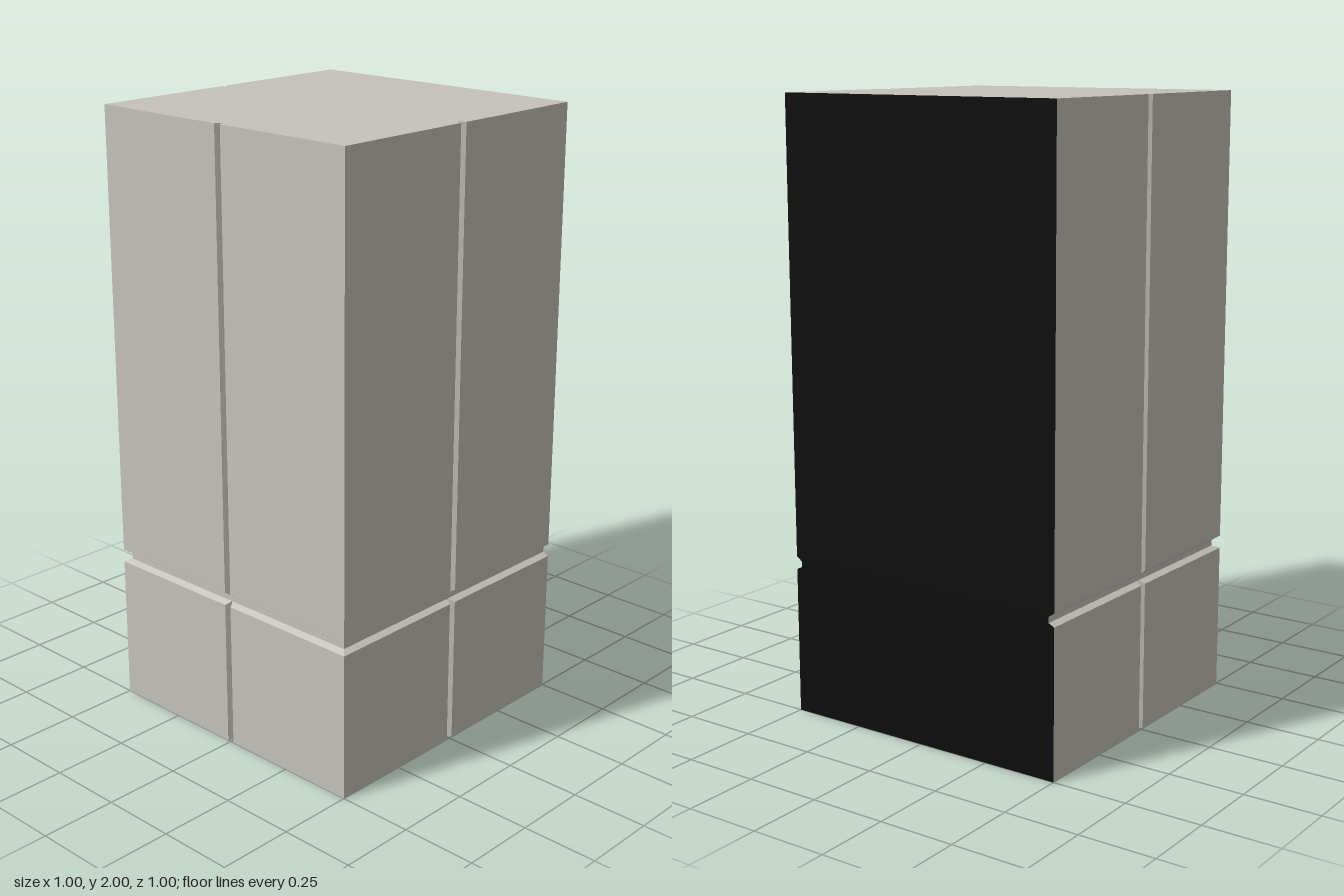
import * as THREE from 'three';

const HALF = 0.5;

// height and inset of the walls: a shallow channel runs round the block at y = 0.5
const LEVELS = [[0, 0], [0.482, 0], [0.492, 0.02], [0.511, 0.02], [0.525, 0], [2, 0]];

// [x, z] outline of three walls, each with a narrow V groove down its middle
function outline(inset) {
  const r = HALF - inset;
  const g = Math.min(r, 0.481);
  const h = inset > 0 ? 0.002 : 0.012;
  const s = 0.002;
  return [
    [HALF, r], [h, r], [s, g], [-s, g], [-h, r], [-r, r],
    [-r, h], [-g, s], [-g, -s], [-r, -h], [-r, -r],
    [-h, -r], [-s, -g], [s, -g], [h, -r], [HALF, -r],
  ];
}

// loft the outline through all levels, with flat facets
function wallGeometry() {
  const rings = LEVELS.map(([y, inset]) => outline(inset).map(([x, z]) => [x, y, z]));
  const pos = [];
  for (let j = 0; j < rings.length - 1; j++) {
    for (let i = 0; i < rings[j].length - 1; i++) {
      const a = rings[j][i], b = rings[j][i + 1];
      const c = rings[j + 1][i + 1], d = rings[j + 1][i];
      pos.push(...a, ...d, ...c, ...a, ...c, ...b);
    }
  }
  const geo = new THREE.BufferGeometry();
  geo.setAttribute('position', new THREE.Float32BufferAttribute(pos, 3));
  geo.computeVertexNormals();
  return geo;
}

function flatShape(points) {
  return new THREE.ShapeGeometry(new THREE.Shape(points.map(([x, y]) => new THREE.Vector2(x, y))));
}

export function createModel() {
  const stone = new THREE.MeshStandardMaterial({ color: 0xc4c2ba, side: THREE.DoubleSide });
  stone.name = 'stone grey';
  const black = new THREE.MeshStandardMaterial({ color: 0x0d0d0d, side: THREE.DoubleSide });
  black.name = 'black';

  const group = new THREE.Group();
  group.name = 'groovedBlock';
  const add = (name, geo, mat) => {
    const mesh = new THREE.Mesh(geo, mat);
    mesh.name = name;
    group.add(mesh);
    return mesh;
  };

  // front, right and back walls; the underside stays open
  add('groovedWalls', wallGeometry(), stone);

  // top panel, notched by the vertical grooves
  const top = flatShape(outline(0).map(([x, z]) => [x, -z]));
  top.rotateX(-Math.PI / 2);
  add('topPanel', top, stone).position.y = 2;

  // plain black side, notched by the horizontal channel
  const up = LEVELS.map(([y, inset]) => [HALF - inset, y]);
  const down = LEVELS.map(([y, inset]) => [inset - HALF, y]).reverse();
  const side = flatShape([...up, ...down]);
  side.rotateY(Math.PI / 2);
  add('blackSide', side, black).position.x = HALF;

  return group;
}
